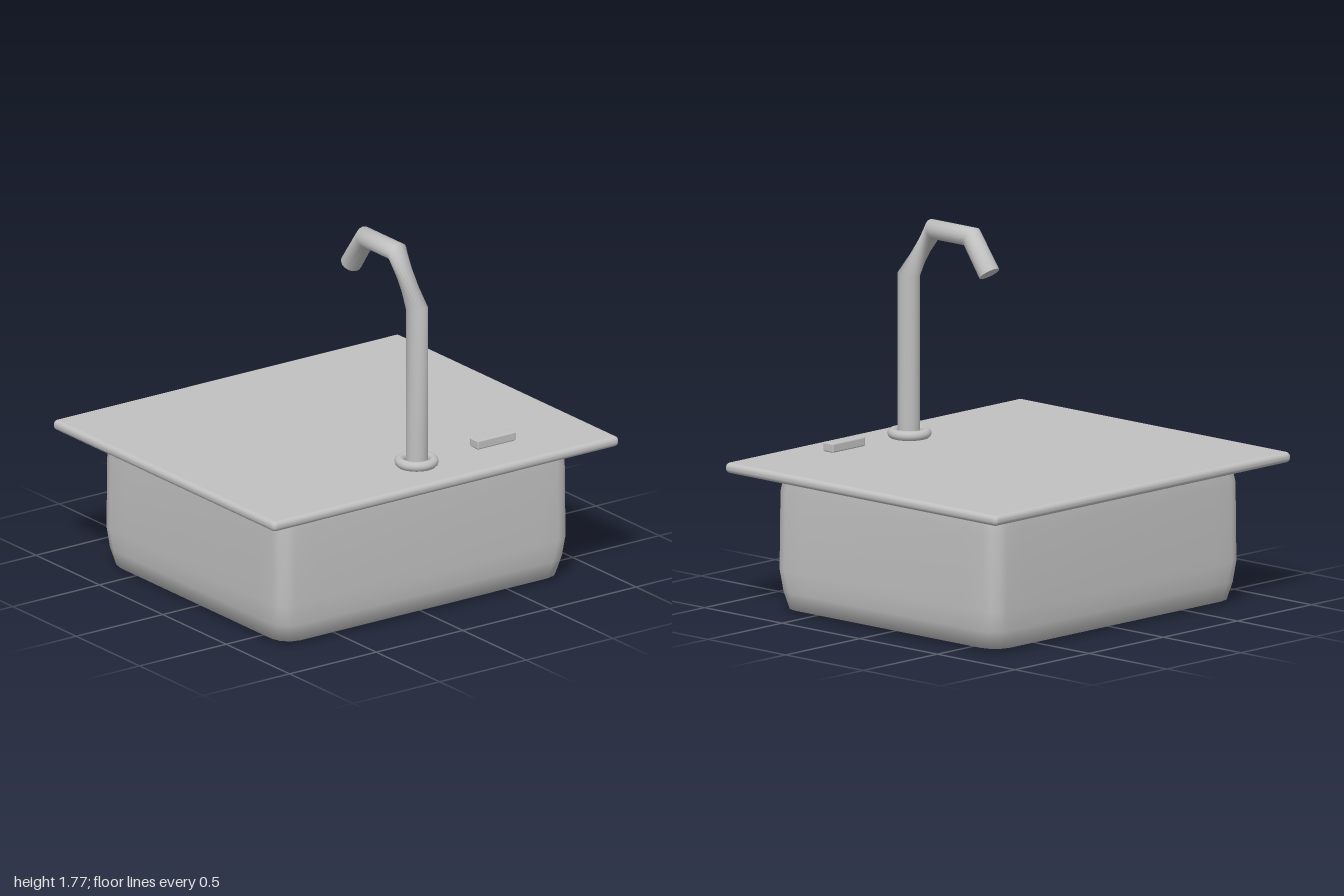
import * as THREE from 'three';
import { RoundedBoxGeometry } from 'three/addons/geometries/RoundedBoxGeometry.js';

// Smooth skin through closed rings of equal length, listed from bottom to top, with flat end caps
function loft(rings) {
  const n = rings[0].length, pos = [], idx = [];
  rings.forEach(r => r.forEach(p => pos.push(...p)));
  for (let i = 0; i < rings.length - 1; i++) {
    for (let j = 0; j < n; j++) {
      const a = i * n + j, b = i * n + (j + 1) % n;
      idx.push(a, a + n, b, b, a + n, b + n);
    }
  }
  [[rings[0], false], [rings[rings.length - 1], true]].forEach(([ring, top]) => {
    const base = pos.length / 3;
    ring.forEach(p => pos.push(...p));
    pos.push(...[0, 1, 2].map(k => ring.reduce((s, p) => s + p[k], 0) / n));
    for (let j = 0; j < n; j++) {
      const a = base + j, b = base + (j + 1) % n;
      idx.push(base + n, top ? b : a, top ? a : b);
    }
  });
  const g = new THREE.BufferGeometry();
  g.setAttribute('position', new THREE.Float32BufferAttribute(pos, 3));
  g.setIndex(idx);
  g.computeVertexNormals();
  return g;
}

// Rounded rectangle ring in the xz plane, with extra points along the straight sides
function basinRing([y, hx, hz, r]) {
  const ring = [], inset = 0.2;
  [[1, 1], [-1, 1], [-1, -1], [1, -1]].forEach(([sx, sz], q) => {
    const alongX = [sx * (hx - inset), y, sz * hz];
    const alongZ = [sx * hx, y, sz * (hz - inset)];
    ring.push(q % 2 ? alongX : alongZ);
    for (let k = 0; k <= 3; k++) {
      const a = (q + k / 3) * Math.PI / 2;
      ring.push([sx * (hx - r) + r * Math.cos(a), y, sz * (hz - r) + r * Math.sin(a)]);
    }
    ring.push(q % 2 ? alongZ : alongX);
  });
  return ring;
}

// Pipe ring: centre (y, z), half-axis (vy, vz) in the side plane, and a twist about the pipe
function pipeRing([y, z, vy, vz, twist]) {
  const r = 0.052, n = 16;
  return Array.from({ length: n }, (_, j) => {
    const a = j / n * Math.PI * 2 + twist;
    return [r * Math.cos(a), y + vy * Math.sin(a), z + vz * Math.sin(a)];
  });
}

export function createModel() {
  const group = new THREE.Group();
  const steel = new THREE.MeshStandardMaterial({ color: 0xc0c0c0 });
  steel.name = 'steel';
  const add = (name, geometry, x = 0, y = 0, z = 0) => {
    const mesh = new THREE.Mesh(geometry, steel);
    mesh.name = name;
    mesh.position.set(x, y, z);
    group.add(mesh);
    return mesh;
  };

  // Worktop slab
  add('worktop', new RoundedBoxGeometry(2, 0.05, 1.75, 4, 0.023), 0, 0.685, 0);

  // Basin: height, half width, half depth, corner radius
  add('basin', loft([
    [0, 0.6, 0.49, 0.08],
    [0.015, 0.81, 0.695, 0.1],
    [0.1, 0.832, 0.714, 0.1],
    [0.2, 0.838, 0.72, 0.08],
    [0.57, 0.836, 0.716, 0.08],
    [0.67, 0.82, 0.7, 0.08],
  ].map(basinRing)));

  // Tap: straight riser, then a spout whose first bend twists
  const t = Math.PI / 2;
  add('tap', loft([
    [0.71, 0.638, 0, 0.053, 0],
    [1.49, 0.638, 0.01, 0.053, 0],
    [1.725, 0.48, 0.045, 0.02, t],
    [1.725, 0.235, 0.045, -0.025, t],
    [1.565, 0.12, 0.03, -0.04, t],
  ].map(pipeRing)));

  // Collar around the tap
  add('tapCollar', new THREE.TorusGeometry(0.08, 0.0235, 12, 40), 0, 0.733, 0.635).rotation.x = Math.PI / 2;

  // Control button beside the tap
  add('button', new RoundedBoxGeometry(0.22, 0.045, 0.066, 2, 0.008), 0.44, 0.747, 0.635);

  return group;
}
